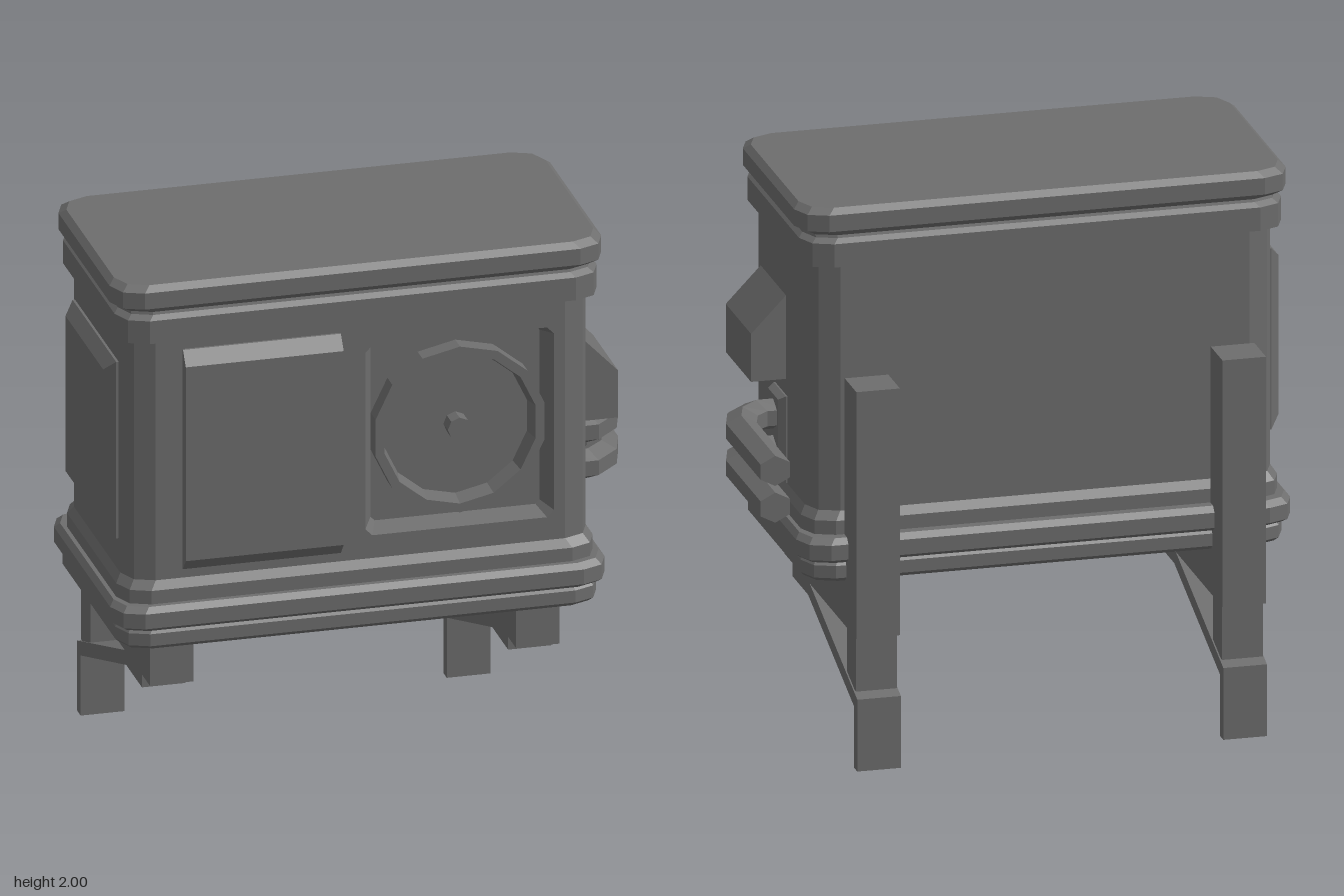
import * as THREE from 'three';

const material = new THREE.MeshStandardMaterial({ color: 0x6d6d6d, flatShading: true, side: THREE.DoubleSide });

// Skin between rings of equal point count; optional start cap; skip(ring, side) leaves a quad open
function loft(rings, { start = true, skip = () => false } = {}) {
  const n = rings[0].length, index = [];
  rings.slice(1).forEach((_, k) => {
    for (let i = 0; i < n; i++) {
      if (skip(k, i)) continue;
      const j = (i + 1) % n, a = k * n, b = a + n;
      index.push(a + i, a + j, b + j, a + i, b + j, b + i);
    }
  });
  const last = (rings.length - 1) * n;
  for (let i = 1; i < n - 1; i++) {
    if (start) index.push(0, i + 1, i);
    index.push(last, last + i, last + i + 1);
  }
  const g = new THREE.BufferGeometry();
  g.setAttribute('position', new THREE.Float32BufferAttribute(rings.flat(2), 3));
  g.setIndex(index);
  g.computeVertexNormals();
  return g;
}

const toShape = pts => new THREE.Shape(pts.map(p => new THREE.Vector2(p[0], p[1])));

// Side profile of [z, y] points extruded between two x positions
function slab(pts, x0, x1) {
  const g = new THREE.ExtrudeGeometry(toShape(pts), { depth: x1 - x0, bevelEnabled: false });
  return g.rotateY(-Math.PI / 2).translate(x1, 0, 0);
}

// Rectangle facing +z with sloping edges
function bevelPanel(w, h, d, inset) {
  const ring = (i, z) => [[-1, -1], [1, -1], [1, 1], [-1, 1]].map(([x, y]) => [x * (w / 2 - i), y * (h / 2 - i), z]);
  return loft([ring(0, 0), ring(0, d * 0.2), ring(inset, d)]);
}

// Rectangle with cut corners, anticlockwise from the front
const cutRect = (x0, x1, y0, y1, c, z) => [
  [x0 + c, y0, z], [x1 - c, y0, z], [x1, y0 + c, z], [x1, y1 - c, z],
  [x1 - c, y1, z], [x0 + c, y1, z], [x0, y1 - c, z], [x0, y0 + c, z]];

export function createModel() {
  const group = new THREE.Group();
  const add = (name, geometry, x = 0, y = 0, z = 0) => {
    const mesh = new THREE.Mesh(geometry, material);
    mesh.name = name;
    mesh.position.set(x, y, z);
    group.add(mesh);
  };

  // Cabinet: stacked rounded rectangles, [y, x offset, front offset, back offset if different]
  const X0 = -0.925, X1 = 0.74, Z0 = -0.34, Z1 = 0.476, R = 0.1;
  const ring = ([y, ox, front, back = front]) => {
    const pts = [];
    for (let c = 0; c < 4; c++) for (let s = 0; s < 3; s++) {
      const a = Math.PI / 2 * (1 - c - s / 2);
      const cx = c < 2 ? X1 + ox - R : X0 - ox + R;
      const cz = c === 0 || c === 3 ? Z1 + front - R : Z0 - back + R;
      pts.push([cx + R * Math.cos(a), y, cz + R * Math.sin(a)]);
    }
    return pts;
  };
  const profile = [
    [0.645, 0.015, 0.02, 0.03], [0.66, 0.028, 0.035, 0.046], [0.705, 0.028, 0.035, 0.046], [0.72, 0.02, 0.025, 0.035],
    [0.72, 0.035, 0.04, 0.055], [0.735, 0.052, 0.058, 0.075], [0.79, 0.052, 0.058, 0.075], [0.81, 0.035, 0.04, 0.055],
    [0.81, 0.02, 0.02], [0.86, 0.02, 0.02], [0.89, 0, 0], [1.78, 0, 0],
    [1.79, 0.03, 0.034], [1.875, 0.03, 0.034], [1.89, 0.013, 0.015], [1.9, 0.013, 0.012],
    [1.92, 0.047, 0.032], [1.98, 0.047, 0.032], [2, 0.025, 0.008]];
  add('cabinet', loft(profile.map(ring), { skip: (k, i) => k === 10 && i === 11 }));

  // Front wall with the fan opening
  const wall = toShape([[X0 + R, 0.89], [X1 - R, 0.89], [X1 - R, 1.78], [X0 + R, 1.78]]);
  const opening = cutRect(-0.075, 0.6, 0.975, 1.685, 0.025, Z1);
  wall.holes.push(toShape(opening));
  add('frontWall', new THREE.ShapeGeometry(wall), 0, 0, Z1);
  const floor = Z1 - 0.07;
  add('fanRecess', loft([opening, cutRect(-0.038, 0.567, 1.0, 1.665, 0.015, floor)], { start: false }));

  // Fan ring with a flat rim, and its hub
  const rim = [[0.31, 0], [0.31, 0.066], [0.277, 0.066], [0.263, 0]].map(p => new THREE.Vector2(...p));
  add('fanRing', new THREE.LatheGeometry(rim, 14).rotateX(Math.PI / 2), 0.265, 1.335, floor);
  add('fanHub', new THREE.CylinderGeometry(0.042, 0.042, 0.06, 8).rotateX(Math.PI / 2), 0.265, 1.335, floor + 0.03);

  // Raised panels on the front and on the -x side
  add('frontPanel', slab([[0.46, 0.925], [0.485, 0.925], [0.523, 0.97], [0.523, 1.695], [0.485, 1.745], [0.46, 1.745]], -0.73, -0.165));
  add('sidePanel', bevelPanel(0.58, 0.66, 0.045, 0.04).rotateY(-Math.PI / 2), X0, 1.34, 0.065);

  // Sloped cover and pipe plate on the +x side
  const cover = toShape([[0.72, 1.265], [0.865, 1.265], [0.865, 1.44], [0.74, 1.57], [0.72, 1.57]]);
  add('valveCover', new THREE.ExtrudeGeometry(cover, { depth: 0.335, bevelEnabled: false }), 0, 0, 0.01);
  add('pipePlate', bevelPanel(0.16, 0.315, 0.03, 0.014).rotateY(Math.PI / 2), X1, 1.05, 0.07);

  // Six-sided pipes bending towards the back, [x, z, direction x, direction z, mitre]
  const path = [[0.74, 0.07, 1, 0, 1], [0.83, 0.07, 0.89, -0.45, 1.08], [0.895, 0.01, 0.5, -0.87, 1.03],
    [0.924, -0.08, 0.15, -0.99, 1.01], [0.924, -0.53, 0, -1, 1]];
  for (const y of [1.122, 0.988]) {
    add('pipe', loft(path.map(([x, z, dx, dz, m]) => Array.from({ length: 6 }, (_, i) => {
      const a = Math.PI / 2 + i * Math.PI / 3, s = 0.061 * m * Math.cos(a);
      return [x + dz * s, y + 0.055 * Math.sin(a), z - dx * s];
    }))));
  }

  // Wall brackets with braces and feet
  for (const x of [-0.757, 0.553]) {
    const x0 = x - 0.078, x1 = x + 0.078;
    add('bracket', slab([[0.435, 0.48], [0.435, 0.65], [-0.365, 0.65], [-0.365, 1.38], [-0.52, 1.38], [-0.52, 0.48]], x0, x1));
    add('bracketLowerPost', new THREE.BoxGeometry(0.146, 0.2, 0.122), x, 0.38, -0.437);
    add('bracketBrace', slab([[0.33, 0.48], [0.33, 0.432], [0.12, 0.432], [-0.485, 0.225], [-0.485, 0],
      [-0.532, 0], [-0.532, 0.262], [0.1, 0.48]], x0, x1));
  }
  return group;
}
